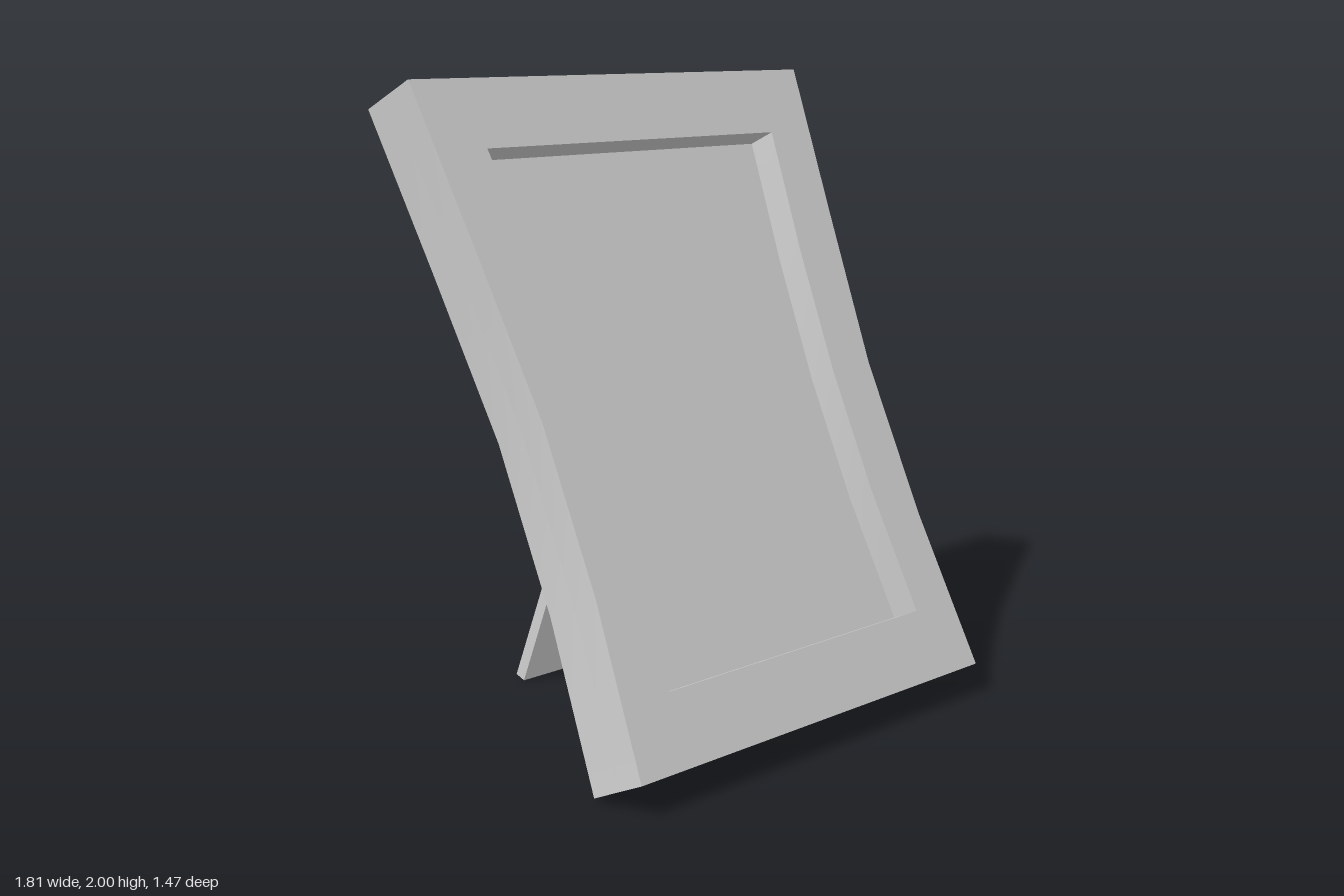
import * as THREE from 'three';
import { toCreasedNormals } from 'three/addons/utils/BufferGeometryUtils.js';

const HEIGHT = 2.096, DEPTH = 0.215, RECESS = 0.1;
const MARGIN = 0.222;           // border above and below the opening
const TILT = 0.436, YAW = 0.28, CENTRE = 0.02;

// Mirrored outline from half widths listed bottom to top at even heights
function waistedPoints(halfWidths, y0, y1) {
  const right = halfWidths.map((w, i) =>
    new THREE.Vector2(w, y0 + (y1 - y0) * i / (halfWidths.length - 1)));
  const left = right.map(p => new THREE.Vector2(-p.x, p.y)).reverse();
  return [...right, ...left];
}

// Extrude from z = front backwards, smooth along the curved sides
function slab(shape, front, depth, name, material) {
  const geometry = new THREE.ExtrudeGeometry(shape, { depth, bevelEnabled: false });
  geometry.translate(0, 0, front - depth);
  const mesh = new THREE.Mesh(toCreasedNormals(geometry, 0.5), material);
  mesh.name = name;
  return mesh;
}

export function createModel() {
  const material = new THREE.MeshStandardMaterial({ color: 0xcccccc });
  const model = new THREE.Group();
  model.name = 'pictureFrame';
  model.rotation.y = YAW;

  // Leaning frame: border with opening, and the panel behind it
  const outer = waistedPoints([0.755, 0.717, 0.715, 0.765, 0.82], 0, HEIGHT);
  const inner = waistedPoints([0.557, 0.53, 0.533, 0.563, 0.61], MARGIN, HEIGHT - MARGIN);
  const borderShape = new THREE.Shape(outer);
  borderShape.holes.push(new THREE.Path(inner));

  const frame = new THREE.Group();
  frame.name = 'frame';
  frame.add(
    slab(borderShape, 0, RECESS, 'border', material),
    slab(new THREE.Shape(outer), -RECESS, DEPTH - RECESS, 'backPanel', material));
  frame.position.set(CENTRE, 0.1, 0.55);
  frame.rotation.x = -TILT;
  model.add(frame);

  // Tapered prop leg, its top end sunk into the back panel
  const stand = slab(new THREE.Shape(waistedPoints([0.21, 0.13], 0, 1.31)), 0, 0.04, 'stand', material);
  stand.position.set(CENTRE, 0, -0.59);
  stand.rotation.x = 0.34;
  model.add(stand);

  const root = new THREE.Group();
  root.add(model);
  return root;
}
